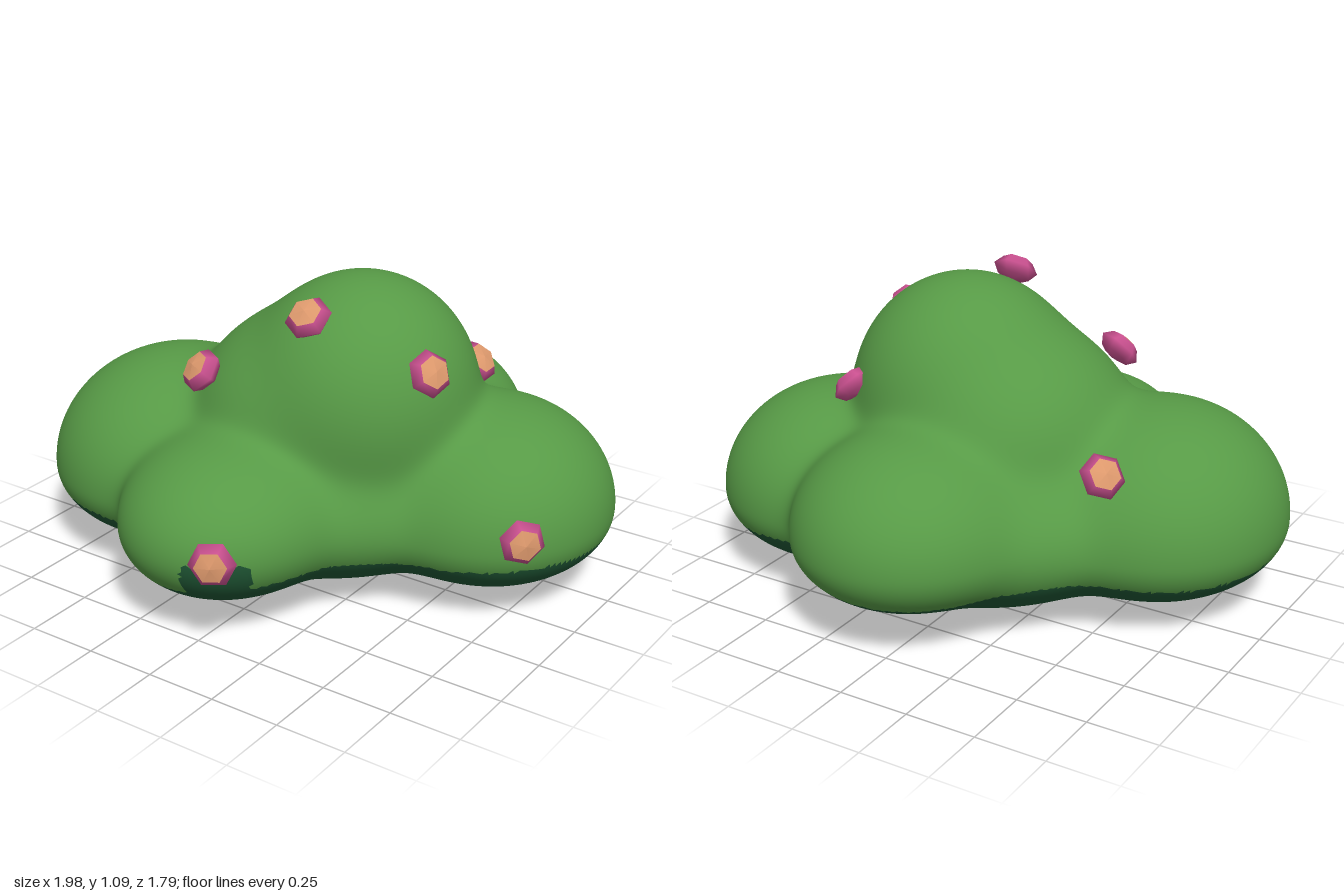
import * as THREE from 'three';
import { mergeVertices } from 'three/addons/utils/BufferGeometryUtils.js';

// Foliage lobes: centre, radii [x, up, z, down]
const LOBES = [
  { c: [0.15, 0.68, 0.0], r: [0.4, 0.42, 0.4, 0.42] },       // crown
  { c: [-0.05, 0.58, 0.0], r: [0.4, 0.36, 0.44, 0.4] },      // crown shoulder
  { c: [0.0, 0.32, -0.06], r: [0.58, 0.33, 0.58, 0.31] },    // core
  { c: [-0.54, 0.32, 0.14], r: [0.45, 0.4, 0.47, 0.26] },    // left of the front view
  { c: [0.56, 0.31, -0.18], r: [0.43, 0.37, 0.44, 0.25] },   // right of the front view
  { c: [-0.07, 0.34, 0.45], r: [0.37, 0.28, 0.42, 0.25] },   // front
  { c: [0.07, 0.36, -0.48], r: [0.4, 0.33, 0.42, 0.24] },    // back
];

// Smooth union of the lobes; negative inside
function field(p) {
  const k = 0.03;
  let sum = 0;
  for (const { c, r } of LOBES) {
    const dy = p.y - c[1];
    const q = Math.hypot((p.x - c[0]) / r[0], dy / (dy > 0 ? r[1] : r[3]), (p.z - c[2]) / r[2]);
    sum += Math.exp(-((q - 1) * 0.32) / k);
  }
  return -k * Math.log(sum + 1e-30);
}

// Sphere pushed out along its rays onto the blended lobes
function foliageGeometry() {
  let geo = new THREE.IcosahedronGeometry(1, 56);
  geo.deleteAttribute('normal');
  geo.deleteAttribute('uv');
  geo = mergeVertices(geo, 1e-4);
  const origin = new THREE.Vector3(0.04, 0.36, 0);
  const pos = geo.attributes.position;
  const dir = new THREE.Vector3(), p = new THREE.Vector3();
  const at = (t) => field(p.copy(origin).addScaledVector(dir, t));
  for (let i = 0; i < pos.count; i++) {
    dir.fromBufferAttribute(pos, i).normalize();
    let hi = 1.3;
    while (hi > 0.1 && at(hi - 0.02) > 0) hi -= 0.02;
    let lo = hi - 0.02;
    for (let j = 0; j < 10; j++) {
      const mid = (lo + hi) / 2;
      if (at(mid) > 0) hi = mid; else lo = mid;
    }
    at(hi);
    pos.setXYZ(i, p.x, Math.max(p.y, 0), p.z);
  }
  geo.computeVertexNormals();

  // Shaded underside below a wavy line, with a small tongue at the front
  const upper = [], lower = [];
  const tongue = new THREE.Vector3(0.12, 0.28, 0.8);
  const index = geo.index.array;
  const m = new THREE.Vector3();
  for (let i = 0; i < index.length; i += 3) {
    const tri = [index[i], index[i + 1], index[i + 2]];
    m.set(0, 0, 0);
    for (const v of tri) m.add(p.fromBufferAttribute(pos, v));
    m.divideScalar(3);
    const line = 0.235 + 0.02 * Math.sin(m.x * 6 + 2.5) * Math.cos(m.z * 4);
    const dark = m.y < line || (m.distanceTo(tongue) < 0.12 && m.y < 0.35);
    (dark ? lower : upper).push(...tri);
  }
  geo.setIndex([...upper, ...lower]);
  geo.addGroup(0, upper.length, 0);
  geo.addGroup(upper.length, lower.length, 1);
  return geo;
}

// Blossoms: position, facing direction
const BLOSSOMS = [
  [[0.14, 1.04, 0.31], [0.05, 0.78, 0.63]],
  [[-0.25, 0.79, 0.38], [-0.35, 0.65, 0.68]],
  [[0.52, 0.89, 0.18], [0.8, 0.45, 0.35]],
  [[0.14, 0.38, 0.84], [0.42, 0.1, 0.85]],
  [[0.87, 0.38, 0.16], [0.72, 0.1, 0.68]],
  [[0.42, 0.745, -0.305], [0.72, 0.65, 0.08]],
  [[-0.53, 0.6, -0.265], [-0.62, 0.55, -0.5]],
];

// Six-sided piece of a flattened ball, from one polar angle to another
function ballBand(from, to, steps) {
  const profile = [];
  for (let i = 0; i <= steps; i++) {
    const a = from + ((to - from) * i) / steps;
    profile.push(new THREE.Vector2(0.08 * Math.sin(a), -0.045 * Math.cos(a)));
  }
  return new THREE.LatheGeometry(profile, 6);
}

export function createModel() {
  const leaf = new THREE.MeshStandardMaterial({ color: 0x579a46 });
  leaf.name = 'leaf green';
  const shade = new THREE.MeshStandardMaterial({ color: 0x1e5433 });
  shade.name = 'deep green';
  const pink = new THREE.MeshStandardMaterial({ color: 0xc9508f });
  pink.name = 'petal pink';
  const orange = new THREE.MeshStandardMaterial({ color: 0xdc986c });
  orange.name = 'blossom orange';

  const group = new THREE.Group();
  group.name = 'floweringBush';

  const foliage = new THREE.Mesh(foliageGeometry(), [leaf, shade]);
  foliage.name = 'foliage';
  group.add(foliage);

  // Petals cover the ball up to the orange cap
  const petalGeo = ballBand(0, Math.PI * 0.76, 3);
  const capGeo = ballBand(Math.PI * 0.76, Math.PI, 1);
  const up = new THREE.Vector3(0, 1, 0);
  BLOSSOMS.forEach(([at, facing], i) => {
    const blossom = new THREE.Group();
    blossom.name = `blossom${i + 1}`;
    const petals = new THREE.Mesh(petalGeo, pink);
    petals.name = 'petals';
    const cap = new THREE.Mesh(capGeo, orange);
    cap.name = 'blossomCentre';
    blossom.add(petals, cap);
    blossom.position.set(...at);
    blossom.quaternion.setFromUnitVectors(up, new THREE.Vector3(...facing).normalize());
    group.add(blossom);
  });
  return group;
}
